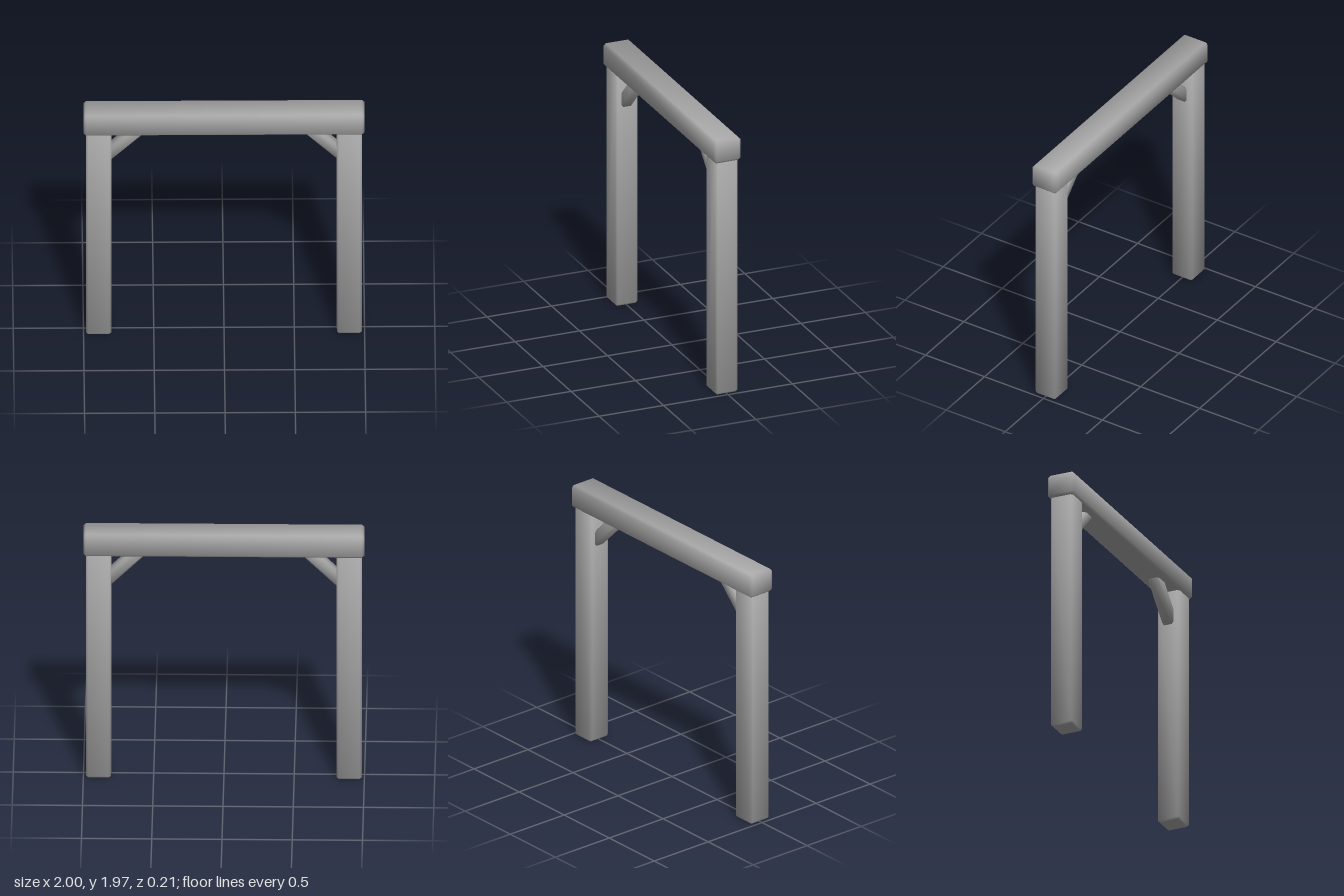
import * as THREE from 'three';
import { ConvexGeometry } from 'three/addons/geometries/ConvexGeometry.js';

// Box with bevelled edges and soft normals that lean outward at the bevels
function bevelledBox(w, h, d, bevel) {
  const half = [w / 2, h / 2, d / 2];
  const points = [];
  for (const sx of [-1, 1]) for (const sy of [-1, 1]) for (const sz of [-1, 1]) {
    const s = [sx, sy, sz];
    for (let axis = 0; axis < 3; axis++) {
      points.push(new THREE.Vector3(...s.map((v, i) => v * (half[i] - (i === axis ? 0 : bevel)))));
    }
  }
  const geometry = new ConvexGeometry(points);
  const { position, normal } = geometry.attributes;
  const n = new THREE.Vector3();
  for (let i = 0; i < position.count; i++) {
    const p = [position.getX(i), position.getY(i), position.getZ(i)];
    n.set(...p.map((v, a) => Math.sign(v) * (Math.abs(v) > half[a] - bevel / 2 ? 3 : 1.28))).normalize();
    normal.setXYZ(i, n.x, n.y, n.z);
  }
  return geometry;
}

export function createModel() {
  const model = new THREE.Group();
  model.name = 'timberFrame';
  const timber = new THREE.MeshStandardMaterial({ name: 'grey timber', color: 0xa8a8a8 });

  function add(name, geometry, x, y, tilt = 0) {
    const mesh = new THREE.Mesh(geometry, timber);
    mesh.name = name;
    mesh.position.set(x, y, 0);
    mesh.rotation.z = tilt;
    model.add(mesh);
  }

  // Top beam
  add('beam', bevelledBox(2, 0.175, 0.21, 0.018), 0, 1.8775);

  // Posts and diagonal braces, mirrored
  const post = bevelledBox(0.18, 1.81, 0.174, 0.015);
  const brace = bevelledBox(0.09, 0.42, 0.09, 0.015);
  for (const [side, s] of [['left', 1], ['right', -1]]) {
    add(side + 'Post', post, s * 0.892, 0.905);
    add(side + 'Brace', brace, s * 0.7, 1.698, s * Math.PI / 4);
  }
  return model;
}
